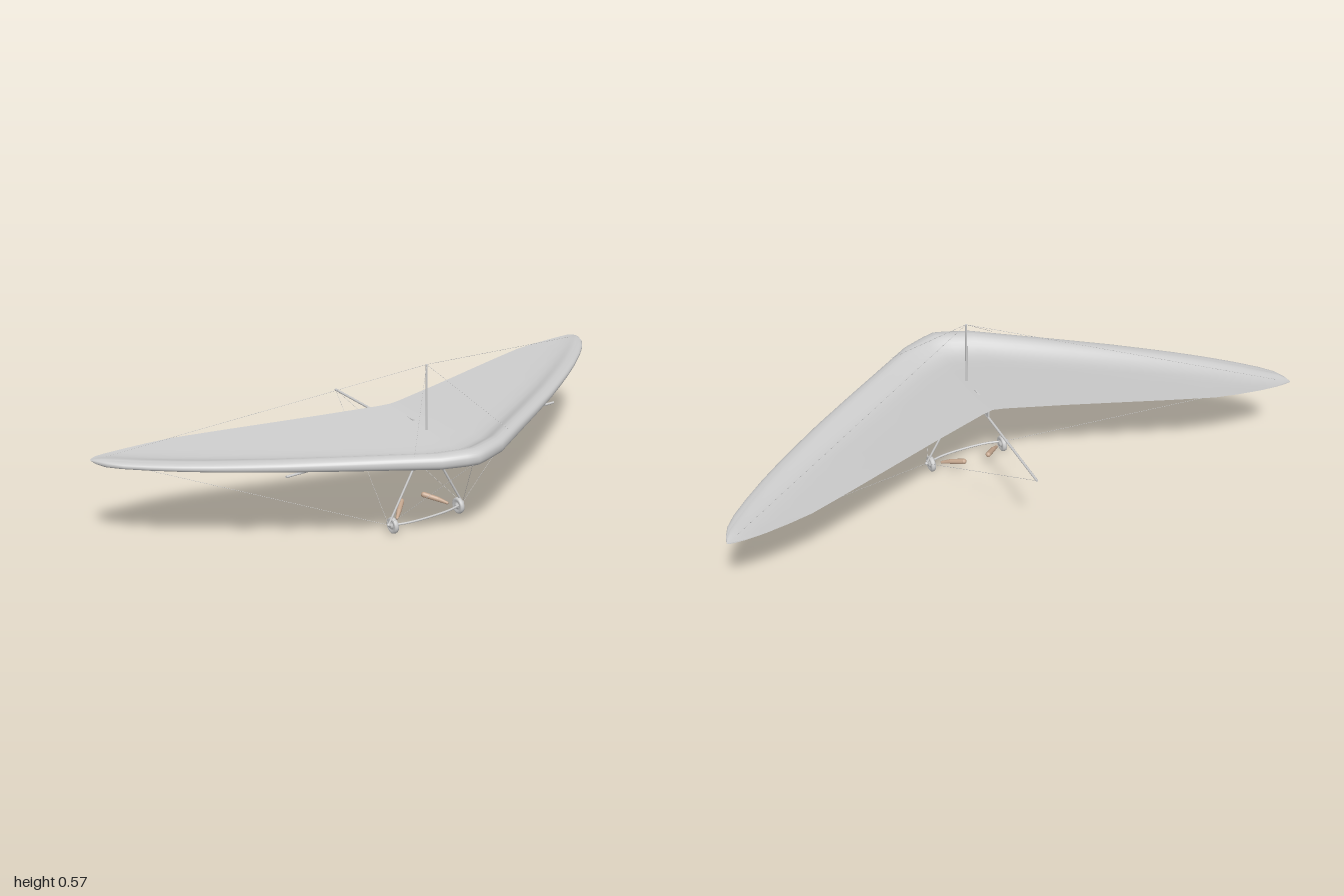
import * as THREE from 'three';

const grey = new THREE.MeshStandardMaterial({ color: 0xcccccc });
const sheet = new THREE.MeshStandardMaterial({ color: 0xcccccc, side: THREE.DoubleSide });
const brown = new THREE.MeshStandardMaterial({ color: 0xc4a68e });
const V = (x, y, z) => new THREE.Vector3(x, y, z);

function add(group, name, geometry, material = grey) {
  const mesh = new THREE.Mesh(geometry, material);
  mesh.name = name;
  group.add(mesh);
  return mesh;
}

// Straight round bar between two points
function bar(group, name, a, b, r0, r1 = r0, sides = 10, material = grey) {
  const mesh = add(group, name, new THREE.CylinderGeometry(r1, r0, a.distanceTo(b), sides), material);
  mesh.position.copy(a).lerp(b, 0.5);
  mesh.quaternion.setFromUnitVectors(V(0, 1, 0), b.clone().sub(a).normalize());
  return mesh;
}

// Half-span stations: x, leading edge z, trailing edge z
const stations = [
  [0, 0.418, -0.085], [0.04, 0.408, -0.093], [0.12, 0.38, -0.117], [0.24, 0.304, -0.153],
  [0.4, 0.203, -0.204], [0.54, 0.112, -0.249], [0.64, 0.042, -0.28], [0.72, -0.016, -0.304],
  [0.8, -0.078, -0.317], [0.88, -0.146, -0.326], [0.94, -0.203, -0.328], [0.975, -0.247, -0.326],
  [0.993, -0.285, -0.323], [1, -0.31, -0.32],
];
const steps = [0, 0.025, 0.05, 0.08, 0.11, 0.15, 0.2, 0.28, 0.4, 0.6, 0.8, 1];

// One wing section: flat underside, blunt rounded leading edge, thin sail behind it
function section([x, zLead, zTrail]) {
  const s = Math.abs(x), chord = zLead - zTrail;
  const tip = Math.min(1, Math.sqrt((1 - s) / 0.03) + 0.1);
  const r = THREE.MathUtils.lerp(0.0275, 0.01, s) * tip;
  const yc = THREE.MathUtils.lerp(0.3375, 0.3235, s);
  const yTrail = THREE.MathUtils.lerp(0.359, 0.324, s);
  const depth = Math.min(0.034, chord * 0.3), back = chord - depth;
  const under = (t) => THREE.MathUtils.lerp(yc - r, yTrail, t);
  const points = [];
  for (const t of [...steps].reverse()) points.push([x, under(t), zLead - depth - t * back]);
  for (let k = 0; k <= 14; k++) {
    const a = (k / 14 - 0.5) * Math.PI, sin = Math.sin(a);
    points.push([
      x,
      yc + r * Math.sign(sin) * Math.abs(sin) ** 0.85,
      zLead - depth + depth * Math.abs(Math.cos(a)) ** 0.85,
    ]);
  }
  for (const t of steps) {
    const swell = Math.exp(-((t * back / (depth * 1.7)) ** 2));
    points.push([x, under(t) + 2 * r * swell + 0.002 * tip * (1 - swell), zLead - depth - t * back]);
  }
  return points;
}

function wingGeometry() {
  const all = [...stations.slice(1).reverse().map(([x, a, b]) => [-x, a, b]), ...stations];
  const rows = all.map(section), n = rows[0].length, index = [];
  for (let i = 0; i < rows.length - 1; i++) {
    for (let j = 0; j < n - 1; j++) {
      const a = i * n + j, b = a + n;
      index.push(a, b, a + 1, b, b + 1, a + 1);
    }
  }
  const g = new THREE.BufferGeometry();
  g.setAttribute('position', new THREE.Float32BufferAttribute(rows.flat(2), 3));
  g.setIndex(index);
  g.computeVertexNormals();
  return g;
}

export function createModel() {
  const model = new THREE.Group();
  model.name = 'hangGlider';

  add(model, 'sail', wingGeometry(), sheet);

  // Airframe tubes
  const mastTop = V(0, 0.568, 0.125), apex = V(0, 0.305, 0.125);
  const keelFront = V(0, 0.304, 0.378), keelRear = V(0, 0.304, -0.418);
  bar(model, 'keel', keelRear, keelFront, 0.0042);
  bar(model, 'crossbar', V(-0.54, 0.308, 0.122), V(0.54, 0.308, 0.122), 0.004);
  bar(model, 'kingpost', apex, mastTop, 0.0035);

  // Pocket joining the keel to the sail
  const pocket = add(model, 'keelPocket', new THREE.BoxGeometry(0.006, 0.045, 0.105));
  pocket.position.set(0, 0.3275, 0);

  // Bowed control bar
  const bow = new THREE.CatmullRomCurve3([
    V(-0.152, 0.032, 0.125), V(-0.09, 0.032, 0.143), V(0, 0.032, 0.149),
    V(0.09, 0.032, 0.143), V(0.152, 0.032, 0.125),
  ]);
  add(model, 'controlBar', new THREE.TubeGeometry(bow, 24, 0.0038, 8));

  // Wheel: rounded tyre profile with a small raised hub
  const wheelProfile = [
    [0, -0.011], [0.008, -0.011], [0.009, -0.005], [0.016, -0.006], [0.022, -0.009], [0.027, -0.006],
    [0.0285, 0], [0.027, 0.006], [0.022, 0.009], [0.016, 0.006], [0.009, 0.005], [0.008, 0.011], [0, 0.011],
  ].map(([r, h]) => new THREE.Vector2(r, h));
  const wheelGeometry = new THREE.LatheGeometry(wheelProfile, 28);

  for (const side of [1, -1]) {
    const half = new THREE.Group();
    half.name = side > 0 ? 'leftRigging' : 'rightRigging';
    model.add(half);
    const corner = V(side * 0.152, 0.034, 0.125);
    const tip = V(side * 0.978, 0.327, -0.308);

    bar(half, 'downtube', corner, apex, 0.0038);
    const bracket = add(half, 'cornerBracket', new THREE.SphereGeometry(0.006, 12, 8));
    bracket.position.copy(corner);

    const wheel = add(half, 'wheel', wheelGeometry);
    wheel.rotation.z = Math.PI / 2;
    wheel.position.set(side * 0.135, 0.0285, 0.125);

    // Bent, widening grip reaching back from the control bar
    const grip = [
      [V(side * 0.103, 0.038, 0.104), 0.005],
      [V(side * 0.08, 0.05, 0.082), 0.0085],
      [V(side * 0.046, 0.063, 0.048), 0.0095],
    ];
    grip.forEach(([point, radius], i) => {
      const joint = add(half, 'gripJoint', new THREE.SphereGeometry(radius, 12, 8), brown);
      joint.position.copy(point);
      if (i > 0) bar(half, 'grip', grip[i - 1][0], point, grip[i - 1][1], radius, 12, brown);
    });

    // Rigging wires
    const wires = [
      ['upperTipWire', mastTop, tip],
      ['upperFrontWire', mastTop, V(side * 0.19, 0.36, 0.325)],
      ['lowerTipWire', corner, tip],
      ['lowerFrontWire', corner, keelFront],
      ['lowerRearWire', corner, keelRear],
    ];
    for (const [name, a, b] of wires) bar(half, name, a, b, 0.0006, 0.0006, 5);
  }
  return model;
}
